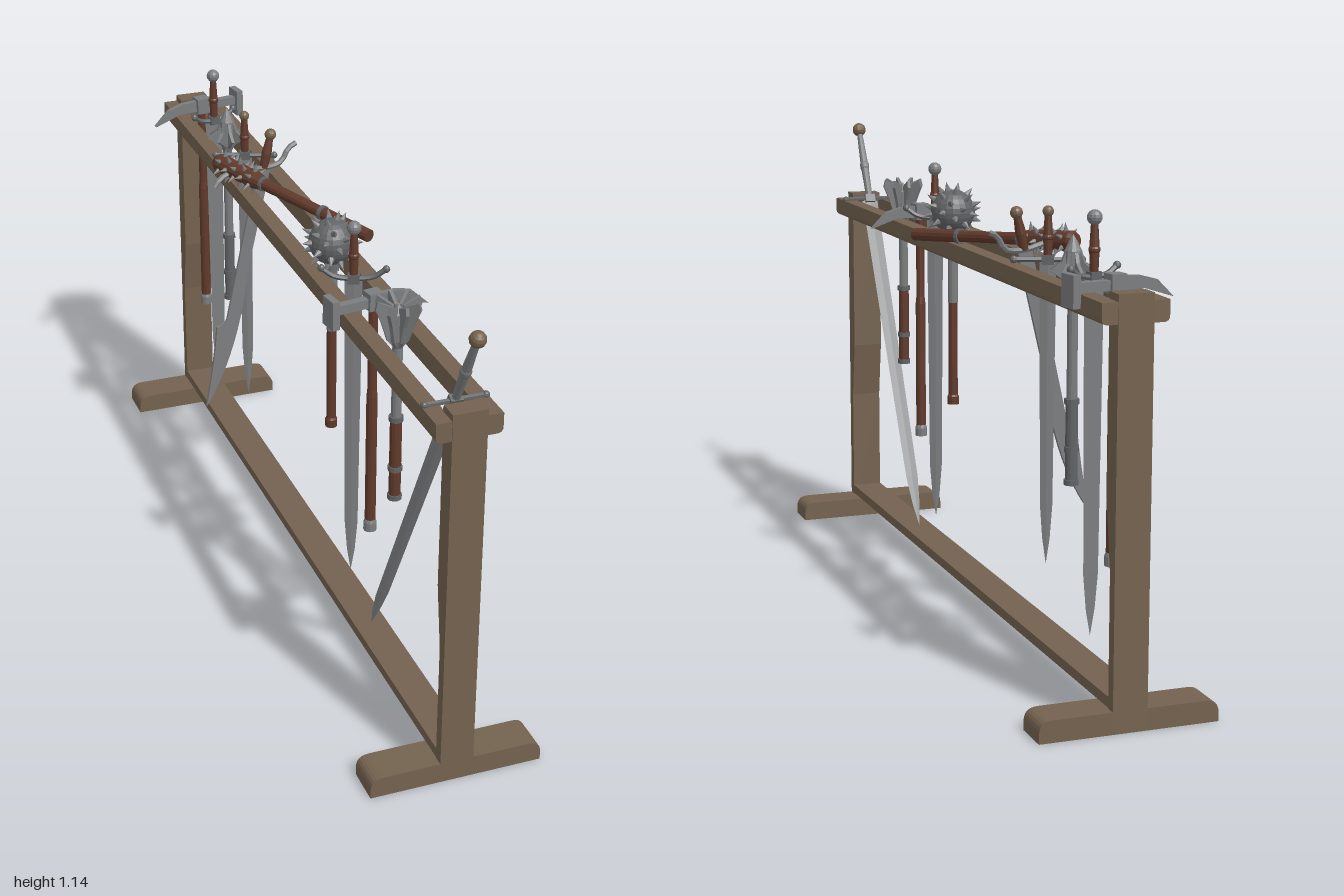
import * as THREE from 'three';

const material = (name, color) => {
  const m = new THREE.MeshStandardMaterial({ color });
  m.name = name;
  return m;
};
const wood = material('oak', 0x74624f);
const leather = material('redBrownGrip', 0x613a2b);
const steel = material('steel', 0x7b7d7e);
const darkSteel = material('darkSteel', 0x616466);
const knob = material('brassBrown', 0x74604a);

// Flat-faced mesh from any geometry
function part(name, geometry, mat, parent) {
  const g = geometry.index ? geometry.toNonIndexed() : geometry;
  g.computeVertexNormals();
  const mesh = new THREE.Mesh(g, mat);
  mesh.name = name;
  parent.add(mesh);
  return mesh;
}
function group(name, parent, x = 0, y = 0, z = 0, yaw = 0) {
  const g = new THREE.Group();
  g.name = name;
  g.position.set(x, y, z);
  g.rotation.y = yaw;
  parent.add(g);
  return g;
}
const v2 = (pts) => pts.map(([x, y]) => new THREE.Vector2(x, y));
const outline = (pts) => new THREE.Shape(v2(pts));
// Turned part: profile of [radius, height], from the bottom up
const turned = (pts, sides = 12) => new THREE.LatheGeometry(v2(pts), sides);
// Plate cut from a shape, centred on its thickness
const plate = (shape, depth) =>
  new THREE.ExtrudeGeometry(shape, { depth, bevelEnabled: false, curveSegments: 6 }).translate(0, 0, -depth / 2);
const box = (w, h, d, x = 0, y = 0, z = 0) => new THREE.BoxGeometry(w, h, d).translate(x, y, z);
const tube = (pts, r) => new THREE.TubeGeometry(
  new THREE.CatmullRomCurve3(pts.map(([x, y]) => new THREE.Vector3(x, y, 0))), 16, r, 6);

// Cone whose base sits at a point and whose tip follows a direction
function spike(parent, at, dir, r, h) {
  const m = part('spike', new THREE.ConeGeometry(r, h, 6).translate(0, h / 2, 0), steel, parent);
  m.position.copy(at);
  m.quaternion.setFromUnitVectors(new THREE.Vector3(0, 1, 0), dir);
}

function buildRack(root) {
  const rack = group('rack', root);
  for (const [end, s] of [[0.966, 1], [-0.998, -1]]) {
    const side = [[0, 0], [-0.026, 0], [-0.026, 0.35], [-0.048, 0.5], [-0.048, 0.943], [0, 0.943]];
    const post = part('post', plate(outline(side.map(([d, y]) => [end + s * d, y])), 0.08), wood, rack);
    post.rotation.y = -Math.PI / 2;
    const foot = new THREE.Shape();
    foot.moveTo(-0.207, 0);
    foot.lineTo(0.207, 0);
    foot.lineTo(0.207, 0.02);
    foot.quadraticCurveTo(0.207, 0.05, 0.175, 0.05);
    foot.lineTo(-0.175, 0.05);
    foot.quadraticCurveTo(-0.207, 0.05, -0.207, 0.02);
    part('foot', plate(foot, 0.091), wood, rack).position.z = end - s * 0.0455;
  }
  for (const s of [-1, 1]) {
    const rail = new THREE.Shape();
    rail.moveTo(s * 0.037, 0.88);
    rail.lineTo(s * 0.062, 0.88);
    rail.quadraticCurveTo(s * 0.076, 0.88, s * 0.076, 0.894);
    rail.lineTo(s * 0.076, 0.927);
    rail.lineTo(s * 0.037, 0.927);
    part('topRail', plate(rail, 1.96), wood, rack).position.z = -0.016;
  }
  part('lowerBeam', box(0.08, 0.024, 1.92, 0, 0.064, -0.016), wood, rack);
}

// Sword with its origin at the guard, blade hanging down
function sword(parent, { length, width, grip, guard, pommel, curl = 0, gripMat = leather, pommelMat = steel }) {
  part('blade', turned([[0, -length], [width * 0.45, -length + 0.06], [width * 0.75, -length + 0.14], [width, 0]], 4)
    .scale(1, 1, 0.13), steel, parent);
  part('guard', tube([[-guard, curl], [-guard * 0.6, curl * 0.2], [0, 0], [guard * 0.6, curl * 0.2], [guard, curl]], 0.0065), darkSteel, parent);
  for (const s of [-1, 1]) {
    part('guardEnd', new THREE.SphereGeometry(0.009, 8, 6).translate(s * guard, curl, 0), darkSteel, parent);
  }
  part('guardBlock', box(0.028, 0.022, 0.02), darkSteel, parent);
  part('grip', turned([[0, 0], [0.009, 0], [0.011, grip * 0.45], [0.013, grip * 0.48], [0.013, grip * 0.53],
    [0.011, grip * 0.56], [0.008, grip], [0, grip]]), gripMat, parent);
  part('pommel', new THREE.SphereGeometry(pommel, 12, 8).translate(0, grip + pommel * 0.7, 0), pommelMat, parent);
}

function buildSwords(root) {
  const leaning = group('leaningSword', root, 0, 0.93, 0.885);
  leaning.rotation.x = 0.4825;
  sword(leaning, { length: 0.96, width: 0.022, grip: 0.2, guard: 0.07, pommel: 0.019, gripMat: steel, pommelMat: knob });
  const hung = [
    ['longSword', 0.295, -0.39, { length: 0.8, width: 0.021, grip: 0.115, guard: 0.075, pommel: 0.017, curl: 0.025 }],
    ['shortSword', -0.505, -0.36, { length: 0.71, width: 0.019, grip: 0.1, guard: 0.077, pommel: 0.013, pommelMat: knob }],
    ['broadSword', -0.773, 0.26, { length: 0.8, width: 0.027, grip: 0.115, guard: 0.062, pommel: 0.017, curl: 0.02 }],
  ];
  for (const [name, z, yaw, spec] of hung) sword(group(name, root, 0, 0.945, z, yaw), spec);
}

function buildFalchion(root) {
  const falchion = group('falchion', root, 0, 0, -0.385, 0.245);
  const s = new THREE.Shape();
  s.moveTo(-0.007, 0.955);
  s.lineTo(-0.108, 0.548);
  s.quadraticCurveTo(-0.122, 0.536, -0.139, 0.534);
  s.quadraticCurveTo(-0.148, 0.44, -0.177, 0.309);
  s.quadraticCurveTo(-0.13, 0.37, -0.1, 0.445);
  s.quadraticCurveTo(-0.06, 0.54, -0.041, 0.676);
  s.lineTo(0.031, 0.945);
  part('curvedBlade', plate(s, 0.006), steel, falchion);
  const hilt = group('hilt', falchion, 0.013, 0.952, 0);
  hilt.rotation.z = -0.245;
  part('guard', tube([[-0.14, -0.055], [-0.125, -0.03], [-0.07, -0.005], [0, 0], [0.05, 0.018], [0.065, 0.055], [0.085, 0.07]], 0.007), steel, hilt);
  part('grip', turned([[0, 0], [0.01, 0], [0.013, 0.04], [0.009, 0.08], [0, 0.08]]), leather, hilt);
  part('pommel', new THREE.SphereGeometry(0.015, 12, 8).translate(0, 0.09, 0), knob, hilt);
}

// War hammer: square face on -x, drooping beak on +x
function hammer(root, z, yaw) {
  const h = group('warHammer', root, 0, 0, z, yaw);
  part('handle', turned([[0, 0.36], [0.013, 0.36], [0.013, 0.7], [0.011, 0.72], [0.011, 0.955], [0, 0.955]]), leather, h);
  part('endCap', turned([[0, 0.338], [0.016, 0.338], [0.016, 0.36], [0.013, 0.368], [0, 0.368]]), steel, h);
  part('socket', box(0.036, 0.042, 0.034, 0, 0.948), steel, h);
  part('neck', box(0.1, 0.022, 0.02, -0.06, 0.945), steel, h);
  part('hammerFace', box(0.018, 0.07, 0.048, -0.108, 0.94), steel, h);
  const beak = outline([[0.01, 0.932], [0.07, 0.933], [0.142, 0.91], [0.1, 0.95], [0.06, 0.961], [0.01, 0.963]]);
  part('beak', plate(beak, 0.014), steel, h);
}

// Flanged mace: one fin outline repeated around the shaft
function flangedMace(root, name, z, fin, gripMat, gripTop, bottom, tip) {
  const m = group(name, root, 0, 0, z);
  part('shaft', turned([[0, gripTop], [0.012, gripTop], [0.012, 0.9], [0.02, 0.92], [0.02, 0.985], [0.009, tip - 0.015], [0, tip]]), steel, m);
  part('grip', turned([[0, bottom], [0.014, bottom], [0.014, gripTop], [0, gripTop]]), gripMat, m);
  for (const y of [bottom, bottom + 0.075, gripTop - 0.006]) {
    part('ring', turned([[0, y], [0.017, y], [0.017, y + 0.012], [0, y + 0.012]]), darkSteel, m);
  }
  for (let i = 0; i < 8; i++) part('flange', plate(outline(fin), 0.008), steel, m).rotation.y = i * Math.PI / 4;
}

function buildSpikedBall(root) {
  const m = group('spikedBallMace', root, 0, 0, 0.152);
  part('handle', turned([[0, 0.48], [0.015, 0.48], [0.015, 0.5], [0.012, 0.505], [0.012, 0.75], [0, 0.75]]), leather, m);
  part('collar', turned([[0, 0.745], [0.013, 0.745], [0.013, 0.9], [0.022, 0.93], [0, 0.93]]), steel, m);
  const centre = new THREE.Vector3(0, 0.978, 0);
  part('ball', new THREE.SphereGeometry(0.056, 20, 14).translate(0, 0.978, 0), darkSteel, m);
  const count = 38;
  for (let i = 0; i < count; i++) {
    const y = 1 - (2 * i + 1) / count, r = Math.sqrt(1 - y * y), a = i * 2.39996;
    const dir = new THREE.Vector3(r * Math.cos(a), y, r * Math.sin(a));
    spike(m, centre.clone().addScaledVector(dir, 0.053), dir, 0.009, 0.025);
  }
}

// Spiked club lying across the rails
function buildClub(root) {
  const start = new THREE.Vector3(0.127, 0.936, 0.068), end = new THREE.Vector3(-0.1, 0.972, -0.425);
  const club = group('spikedClub', root, start.x, start.y, start.z);
  const length = start.distanceTo(end);
  club.quaternion.setFromUnitVectors(new THREE.Vector3(0, 1, 0), end.sub(start).normalize());
  part('club', turned([[0, 0], [0.016, 0], [0.016, 0.16], [0.014, 0.17], [0.015, 0.36], [0.023, 0.4],
    [0.024, length - 0.01], [0.018, length], [0, length]]), leather, club);
  for (const y of [0.155, 0.365]) {
    part('band', turned([[0, y], [0.019, y], [0.019, y + 0.01], [0, y + 0.01]]), darkSteel, club);
  }
  for (let row = 0; row < 5; row++) {
    for (let i = 0; i < 6; i++) {
      const a = (i + row * 0.5) * Math.PI / 3, dir = new THREE.Vector3(Math.cos(a), 0, Math.sin(a));
      spike(club, dir.clone().multiplyScalar(0.02).setY(0.405 + row * 0.028), dir, 0.007, 0.024);
    }
  }
}

export function createModel() {
  const root = new THREE.Group();
  root.name = 'weaponRack';
  buildRack(root);
  buildSwords(root);
  buildFalchion(root);
  hammer(root, 0.42, 0.14);
  hammer(root, -0.888, 0.16 + Math.PI);
  flangedMace(root, 'crownMace', 0.568, [[0.01, 0.9], [0.026, 0.92], [0.04, 0.965], [0.055, 1.0], [0.05, 1.018], [0.012, 1.0]], leather, 0.72, 0.51, 1.01);
  flangedMace(root, 'starMace', -0.655, [[0.01, 0.905], [0.028, 0.925], [0.053, 0.942], [0.028, 0.96], [0.016, 0.992], [0.01, 0.992]], darkSteel, 0.65, 0.46, 1.022);
  buildSpikedBall(root);
  buildClub(root);
  return root;
}
